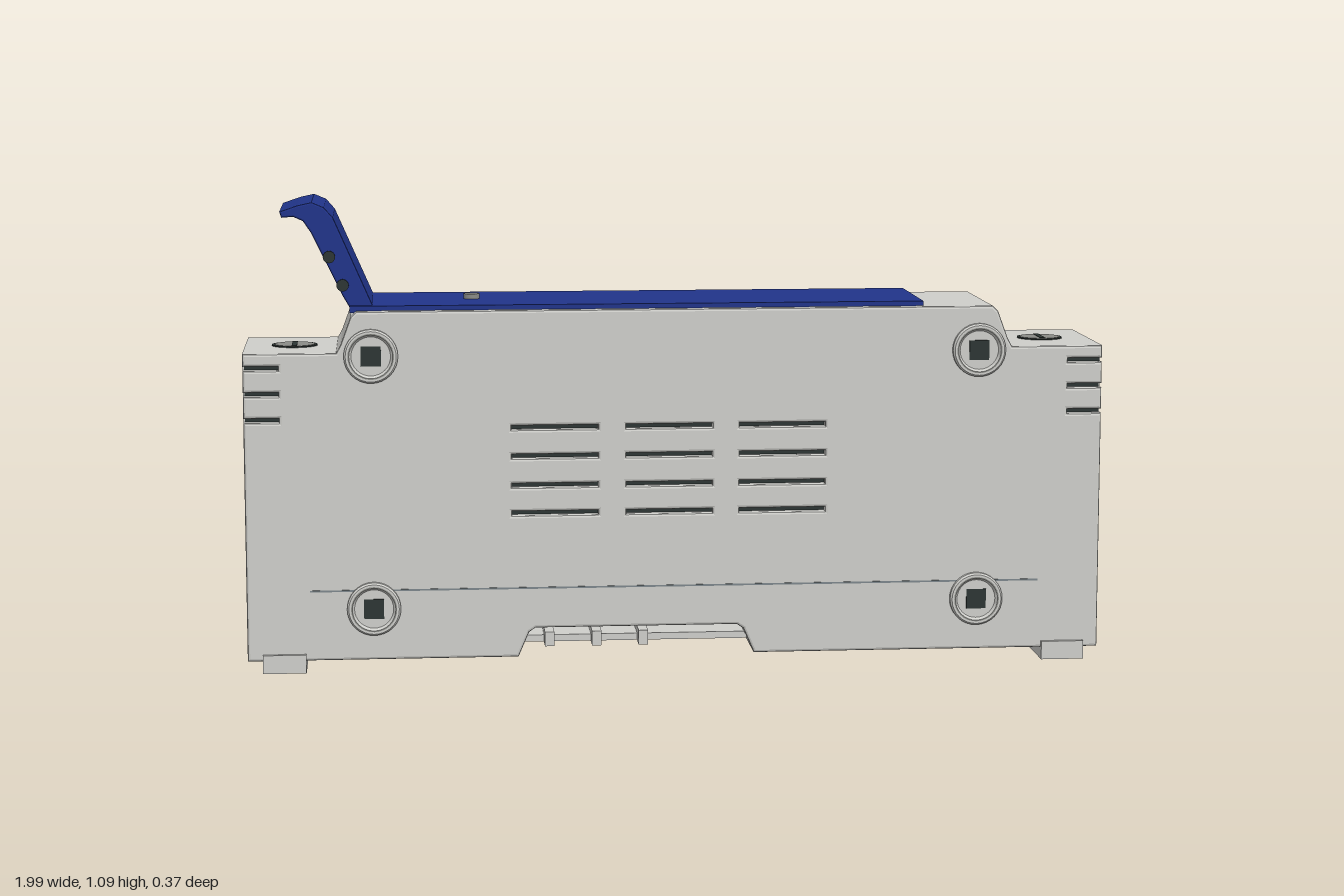
import * as THREE from 'three';
import { toCreasedNormals } from 'three/addons/utils/BufferGeometryUtils.js';

const mat = (name, color) => Object.assign(new THREE.MeshStandardMaterial({ color }), { name });

export function createModel() {
  const root = new THREE.Group();
  root.name = 'railMountedModule';
  const shell = mat('light grey shell', 0xcfcfcb);
  const dark = mat('dark interior', 0x2d3634);
  const blue = mat('blue cover', 0x21348a);
  const metal = mat('grey metal', 0x8b8c88);
  const seam = mat('seam grey', 0x7d878c);

  const add = (name, geo, material, x = 0, y = 0, z = 0) => {
    const m = new THREE.Mesh(geo, material);
    m.name = name;
    m.position.set(x, y, z);
    root.add(m);
    return m;
  };
  const box = (name, w, h, d, material, x, y, z) =>
    add(name, new THREE.BoxGeometry(w, h, d), material, x, y, z);
  const shapeOf = pts => new THREE.Shape(pts.map(p => new THREE.Vector2(p[0], p[1])));

  // Extrude a shape between two z values, with an optional inset edge rounding
  const slab = (shape, z0, z1, b = 0) => {
    const g = new THREE.ExtrudeGeometry(shape, {
      depth: z1 - z0 - 2 * b, bevelEnabled: b > 0, bevelSize: b, bevelThickness: b,
      bevelOffset: -b, bevelSegments: 2, curveSegments: 8,
    });
    return g.translate(0, 0, z0 + b);
  };

  // Housing outline; cuts are notches [yBottom, yTop, xInner] in both ends
  const E = 0.995;
  const outline = cuts => {
    const side = [[E, 0.027]];
    for (const [a, b, x] of cuts) side.push([E, a], [x, a], [x, b], [E, b]);
    side.push([E, 0.742], [0.782, 0.742], [0.772, 0.76], [0.748, 0.825], [0.735, 0.837]);
    return shapeOf([[0.18, 0.027], ...side,
      ...side.slice().reverse().map(([x, y]) => [-x, y]),
      [-0.37, 0.027], [-0.345, 0.085], [-0.33, 0.095], [0.14, 0.095], [0.155, 0.085]]);
  };

  // Core in three slices; the middle one holds the end sockets
  const W = 0.085, win = [0.165, 0.32, 0.94];
  add('coreMiddle', slab(outline([win]), -W, W), shell);
  add('coreFront', slab(outline([]), W, 0.145), shell);
  add('coreBack', slab(outline([]), -0.145, -W), shell);

  // Side shells with corner slots and rows of vents
  const slotYs = [0.588, 0.648, 0.708];
  const ventYs = [0.365, 0.43, 0.498, 0.565];
  const ventXs = [-0.283, -0.018, 0.245];
  const sideShape = outline(slotYs.map(y => [y - 0.005, y + 0.005, 0.914]));
  for (const x of ventXs) for (const y of ventYs) {
    const h = 0.005, w = 0.1, hole = new THREE.Path();
    hole.moveTo(x - w, y - h);
    hole.lineTo(x - w, y + h);
    hole.lineTo(x + w, y + h);
    hole.lineTo(x + w, y - h);
    hole.closePath();
    sideShape.holes.push(hole);
  }
  const bolt = toCreasedNormals(new THREE.LatheGeometry([
    [0.062, 0], [0.062, 0.012], [0.058, 0.017], [0.05, 0.017], [0.045, 0.009], [0, 0.009],
  ].map(p => new THREE.Vector2(...p)), 32).rotateX(Math.PI / 2), 0.5);

  for (const s of [1, -1]) {
    const n = s > 0 ? 'Front' : 'Back';
    add('shell' + n, s > 0 ? slab(sideShape, 0.12, 0.17, 0.006) : slab(sideShape, -0.17, -0.12, 0.006), shell);
    box('ventBacking' + n, 0.78, 0.25, 0.004, dark, -0.018, 0.465, s * 0.147);
    box('seamLine' + n, 1.7, 0.004, 0.002, seam, 0, 0.19, s * 0.1705);
    for (const e of [-1, 1]) {
      // Dark floor inside each corner slot
      for (const y of slotYs) box('slotFloor' + n, 0.078, 0.02, 0.003, dark, e * 0.953, y, s * 0.146);
      // Corner fasteners with square sockets
      for (const y of [0.148, 0.735]) {
        const b = add('bolt' + n, bolt, shell, e * 0.703, y, s * 0.168);
        if (s < 0) b.rotation.y = Math.PI;
        box('boltSocket' + n, 0.046, 0.046, 0.003, dark, e * 0.703, y, s * 0.178);
        const groove = add('boltGroove' + n, new THREE.RingGeometry(0.05, 0.053, 32), metal, e * 0.703, y, s * 0.1855);
        if (s < 0) groove.rotation.y = Math.PI;
      }
    }
  }

  for (const e of [-1, 1]) {
    // End socket, foot and screw on the lower ledge
    box('socketFloor', 0.006, 0.155, 2 * W, dark, e * 0.943, 0.2425, 0);
    box('foot', 0.1, 0.043, 0.36, shell, e * 0.91, 0.0215, 0);
    add('screwRim', new THREE.CylinderGeometry(0.053, 0.053, 0.004, 32), dark, e * 0.88, 0.7425, 0);
    add('screwHead', new THREE.CylinderGeometry(0.047, 0.047, 0.006, 32), metal, e * 0.88, 0.7425, 0);
    box('screwSlot', 0.012, 0.002, 0.085, dark, e * 0.88, 0.7455, 0);
  }

  // Rail clip under the housing with small ribs on both sides
  box('railClip', 0.53, 0.016, 0.22, shell, -0.095, 0.058, 0);
  for (const x of [-0.297, -0.187, -0.078]) box('clipRib', 0.022, 0.034, 0.31, shell, x, 0.065, 0);

  // Blue top cover and its indicator
  box('topCover', 1.325, 0.016, 0.304, blue, -0.0875, 0.84, 0);
  add('indicator', new THREE.CylinderGeometry(0.019, 0.019, 0.02, 20), metal, -0.468, 0.85, 0);

  // Lever: bent plate with a curled lip and side bumps
  const lever = shapeOf([[-0.7, 0.835], [-0.698, 0.85], [-0.785, 1.05], [-0.805, 1.073], [-0.833, 1.085],
    [-0.865, 1.078], [-0.906, 1.064], [-0.902, 1.05], [-0.875, 1.052], [-0.853, 1.042], [-0.835, 1.015],
    [-0.765, 0.87], [-0.745, 0.835]]);
  add('lever', slab(lever, -0.14, 0.14, 0.004), blue);
  for (const [x, y] of [[-0.795, 0.96], [-0.765, 0.895]])
    add('leverBump', new THREE.CylinderGeometry(0.014, 0.014, 0.292, 16).rotateX(Math.PI / 2), dark, x, y, 0);

  return root;
}
